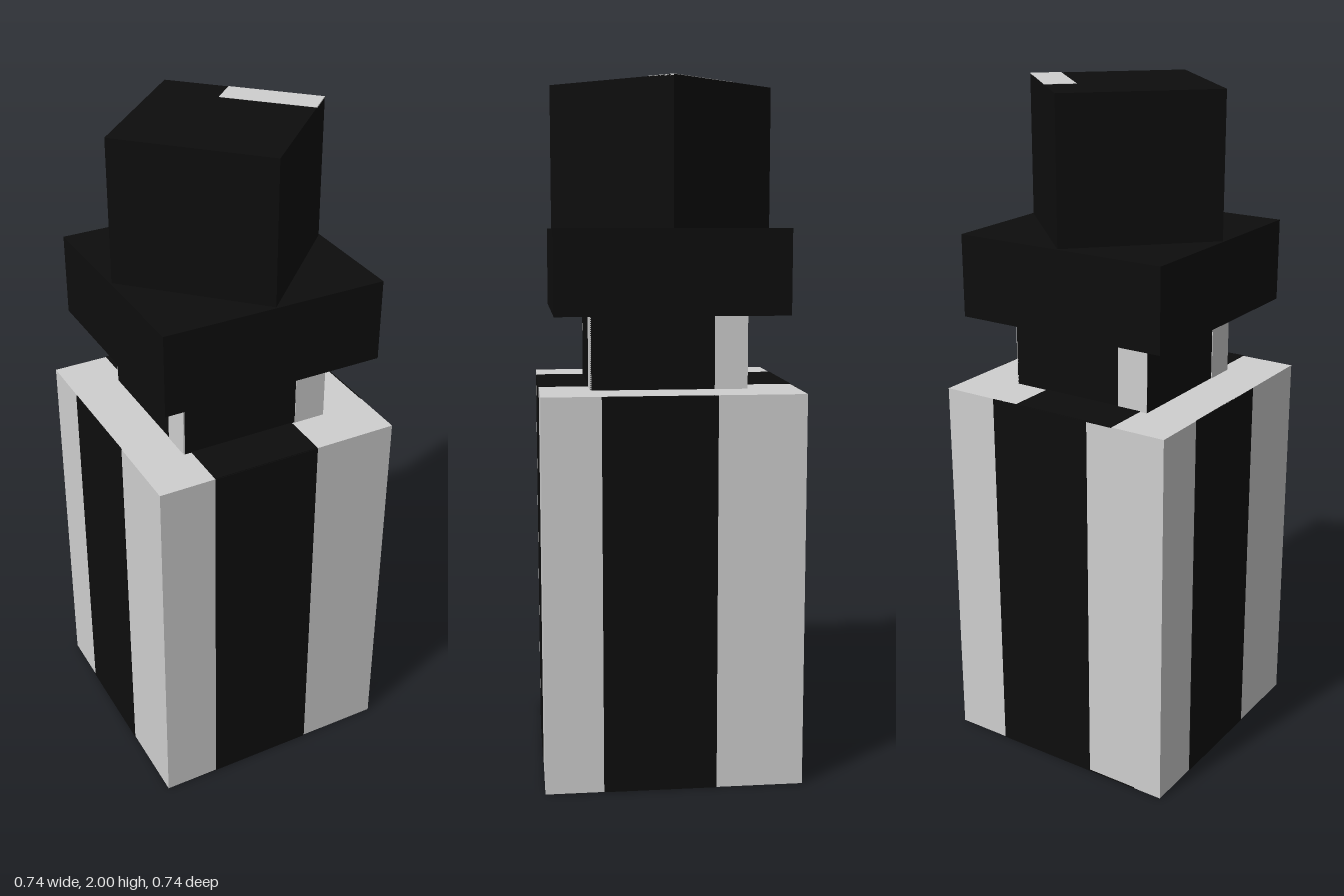
import * as THREE from 'three';

export function createModel() {
  const model = new THREE.Group();
  model.name = 'bottle';

  const black = new THREE.MeshStandardMaterial({ color: 0x0d0d0d });
  black.name = 'black';
  const pale = new THREE.MeshStandardMaterial({ color: 0xcfcfcf });
  pale.name = 'paleGrey';

  const PLATE = 0.004; // thickness of painted plates, half sunk into the surface

  function box(name, material, w, h, d, x, y, z, parent = model) {
    const mesh = new THREE.Mesh(new THREE.BoxGeometry(w, h, d), material);
    mesh.name = name;
    mesh.position.set(x, y, z);
    parent.add(mesh);
    return mesh;
  }

  // Square block standing between two heights
  function block(name, material, half, y0, y1) {
    return box(name, material, half * 2, y1 - y0, half * 2, 0, (y0 + y1) / 2, 0);
  }

  // The same upright band on all four sides of a block, from u0 to u1 across each face
  function sideBands(name, material, half, y0, y1, u0, u1) {
    for (let i = 0; i < 4; i++) {
      const side = new THREE.Group();
      side.name = name + 'Side' + (i + 1);
      side.rotation.y = i * Math.PI / 2;
      box(name, material, u1 - u0, y1 - y0, PLATE, (u0 + u1) / 2, (y0 + y1) / 2, half, side);
      model.add(side);
    }
  }

  // Body with a dark stripe on every face
  const body = 0.37, shoulder = 1.135;
  block('body', pale, body, 0, shoulder);
  sideBands('bodyStripe', black, body, 0, shoulder, -0.203, 0.12);
  box('shoulderStripe', black, 0.323, PLATE, body * 2, -0.0415, shoulder, 0);
  box('baseStripe', black, 0.32, PLATE, body * 2, -0.12, PLATE / 2 - 0.001, 0);

  // Neck with a pale band at one edge of each side
  const neckTop = 1.35;
  block('neck', black, 0.225, shoulder, neckTop);
  sideBands('neckBand', pale, 0.225, shoulder, neckTop, 0.13, 0.225);

  // Wide collar
  const collarTop = 1.59;
  block('collar', black, 0.33, neckTop, collarTop);

  // Cap turned by an eighth, with a pale patch along one top edge
  const cap = new THREE.Group();
  cap.name = 'cap';
  cap.rotation.y = Math.PI / 4;
  const half = 0.23;
  box('capBlock', black, half * 2, 2 - collarTop, half * 2, 0, (collarTop + 2) / 2, 0, cap);
  box('capPatch', pale, 0.09, PLATE, 0.273, half - 0.045, 2 - PLATE / 2 + 0.001, half - 0.1365, cap);
  model.add(cap);

  return model;
}
